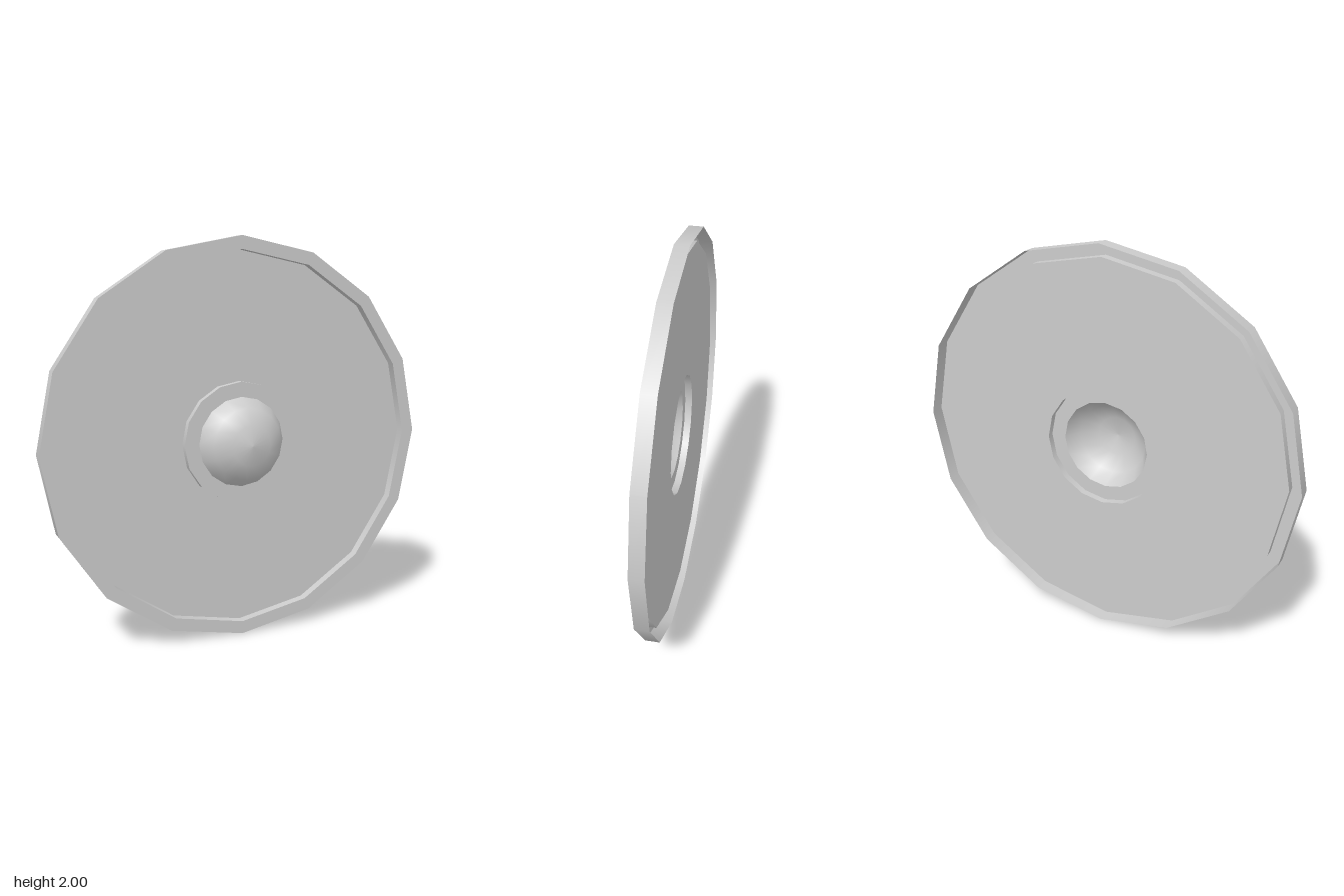
import * as THREE from 'three';

const SIDES = 16;
const material = new THREE.MeshStandardMaterial({ color: 0xcccccc, side: THREE.DoubleSide });

// Turns [radius, z] points around the front-to-back axis
function turned(name, points) {
  const profile = points.map(([r, z]) => new THREE.Vector2(r, z));
  const geometry = new THREE.LatheGeometry(profile, SIDES);
  geometry.rotateX(Math.PI / 2);
  const mesh = new THREE.Mesh(geometry, material);
  mesh.name = name;
  return mesh;
}

export function createModel() {
  const group = new THREE.Group();
  group.name = 'roundShield';

  // Thin pressed shell, open at the back, from the outer edge to the boss
  const shell = [[1, -0.1], [1, -0.03], [0.935, -0.03], [0.935, -0.075],
    [0.3, -0.075], [0.3, -0.04], [0.225, -0.04]];
  const names = ['outerWall', 'rimFace', 'rimInnerWall', 'panel', 'bossWall', 'bossFace'];
  // Each band is its own mesh, so the steps between them stay sharp
  names.forEach((name, i) => group.add(turned(name, [shell[i], shell[i + 1]])));

  // Hollow dome in the middle
  group.add(turned('dome', [[0.225, -0.04], [0.18, 0.037], [0.1, 0.087], [0, 0.1]]));

  group.position.y = 1;
  const model = new THREE.Group();
  model.add(group);
  return model;
}
